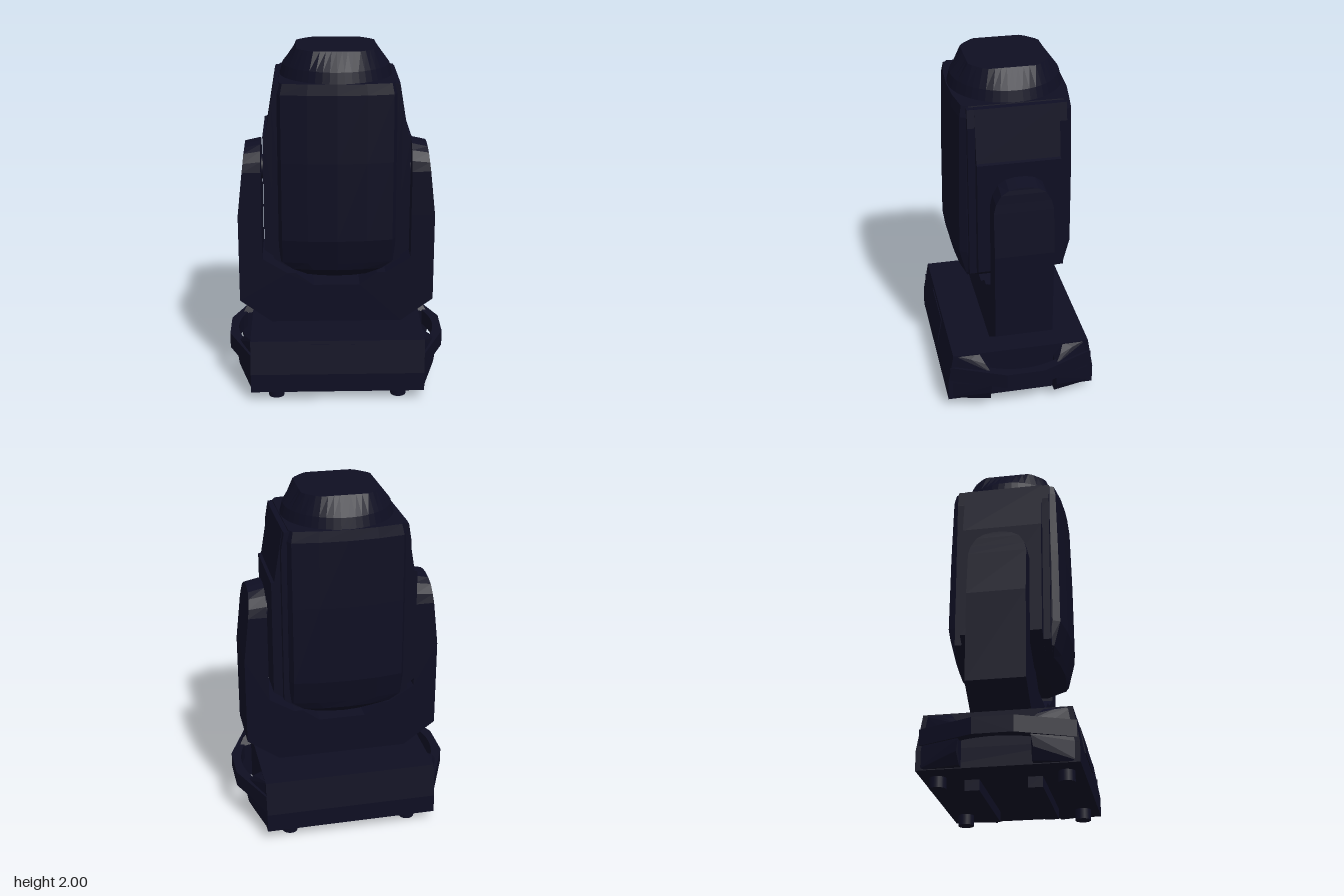
import * as THREE from 'three';
import { ConvexGeometry } from 'three/addons/geometries/ConvexGeometry.js';

const navy = new THREE.MeshStandardMaterial({ color: 0x0e0e22 });
navy.name = 'dark navy';

function part(parent, name, geometry, x = 0, y = 0, z = 0) {
  const mesh = new THREE.Mesh(geometry, navy);
  mesh.name = name;
  mesh.position.set(x, y, z);
  parent.add(mesh);
  return mesh;
}

// Closed, flat-shaded skin over rings of [x, y, z], stacked from bottom to top
function loft(rings) {
  const pos = [];
  const tri = (...pts) => pts.forEach(p => pos.push(...p));
  const n = rings[0].length;
  const middle = ring => [0, 1, 2].map(k => ring.reduce((s, p) => s + p[k], 0) / n);
  const low = rings[0], high = rings[rings.length - 1];
  const lowMid = middle(low), highMid = middle(high);
  for (let j = 0; j < n; j++) {
    const k = (j + 1) % n;
    for (let i = 0; i < rings.length - 1; i++) {
      const a = rings[i][j], b = rings[i][k], c = rings[i + 1][j], d = rings[i + 1][k];
      tri(a, c, b);
      tri(c, d, b);
    }
    tri(lowMid, low[j], low[k]);
    tri(highMid, high[k], high[j]);
  }
  const g = new THREE.BufferGeometry();
  g.setAttribute('position', new THREE.Float32BufferAttribute(pos, 3));
  g.computeVertexNormals();
  return g;
}

const rectRing = (x0, x1, y, z, yOuter = y) =>
  [[x1, yOuter, -z], [x1, yOuter, z], [x0, y, z], [x0, y, -z]];

// Extrude an outline centred along z
function slab(points, depth) {
  const shape = new THREE.Shape(points.map(p => new THREE.Vector2(...p)));
  return new THREE.ExtrudeGeometry(shape, { depth, bevelEnabled: false }).translate(0, 0, -depth / 2);
}

// Add a part on the +x side and its turned copy on the -x side
function pair(parent, name, geometry, x = 0, y = 0, z = 0) {
  part(parent, name, geometry, x, y, z);
  part(parent, name, geometry.clone().rotateY(Math.PI), -x, y, -z);
}

function makeBase() {
  const base = new THREE.Group();
  base.name = 'base';
  part(base, 'baseBody', loft([
    rectRing(-0.5, 0.5, 0.06, 0.432),
    rectRing(-0.5, 0.5, 0.17, 0.432),
    rectRing(-0.5, 0.5, 0.365, 0.398),
  ]));

  // Tapered corner blocks that carry the handles
  const corner = [
    [0.49, 0.065, 0.43], [0.49, 0.17, 0.43], [0.49, 0.365, 0.396],
    [0.49, 0.065, 0.19], [0.49, 0.365, 0.25], [0.52, 0.345, 0.3],
    [0.545, 0.065, 0.19], [0.545, 0.32, 0.22], [0.575, 0.13, 0.2],
    [0.585, 0.19, 0.19], [0.575, 0.275, 0.19], [0.49, 0.29, 0.19],
  ];
  for (const sx of [-1, 1]) for (const sz of [-1, 1]) {
    part(base, 'baseCorner', new ConvexGeometry(
      corner.map(([x, y, z]) => new THREE.Vector3(x * sx, y, z * sz))));
    part(base, 'foot', new THREE.CylinderGeometry(0.045, 0.045, 0.07, 20), 0.355 * sx, 0.035, 0.343 * sz);
  }

  // Bent carrying handles with an arched inner edge
  const handle = new THREE.Shape();
  handle.moveTo(0.5, -0.418);
  handle.lineTo(0.632, -0.11);
  handle.lineTo(0.632, 0.11);
  handle.lineTo(0.5, 0.418);
  handle.lineTo(0.5, 0.19);
  handle.lineTo(0.54, 0.195);
  handle.quadraticCurveTo(0.63, 0, 0.54, -0.195);
  handle.lineTo(0.5, -0.19);
  const handleGeo = new THREE.ExtrudeGeometry(handle, { depth: 0.092, bevelEnabled: false, curveSegments: 12 });
  handleGeo.rotateX(Math.PI / 2);
  pair(base, 'handle', handleGeo, 0, 0.287, 0);

  // Underside rails, control panel and turning post
  for (const z of [-0.17, 0.17]) part(base, 'rail', new THREE.BoxGeometry(0.61, 0.07, 0.08), 0, 0.035, z);
  const panel = part(base, 'controlPanel', new THREE.BoxGeometry(0.34, 0.15, 0.009), -0.07, 0.27, 0.415);
  panel.rotation.x = -0.173;
  part(base, 'turningPost', new THREE.CylinderGeometry(0.08, 0.08, 0.06, 24), 0, 0.385, 0);
  return base;
}

function makeYoke() {
  const yoke = new THREE.Group();
  yoke.name = 'yoke';
  const right = [
    [0.38, 0.385], [0.565, 0.52], [0.565, 1.04], [0.43, 1.04],
    [0.43, 0.78], [0.285, 0.69], [0.235, 0.69], [0.135, 0.615],
  ];
  const left = right.map(([x, y]) => [-x, y]).reverse();
  part(yoke, 'yokeFrame', slab([...right, ...left], 0.33));

  // Upper arms, rounded over at the top
  pair(yoke, 'yokeArm', loft([
    rectRing(0.43, 0.565, 1.04, 0.165),
    rectRing(0.43, 0.536, 1.3, 0.165),
    rectRing(0.43, 0.53, 1.36, 0.152, 1.35),
    rectRing(0.43, 0.525, 1.415, 0.122, 1.4),
    rectRing(0.43, 0.521, 1.445, 0.08, 1.425),
    rectRing(0.43, 0.52, 1.456, 0.03, 1.436),
  ]));
  pair(yoke, 'tiltHub', new THREE.CylinderGeometry(0.07, 0.07, 0.08, 24).rotateZ(Math.PI / 2), 0.415, 1.29, 0);
  return yoke;
}

function makeHead() {
  const head = new THREE.Group();
  head.name = 'head';

  // Housing with gently bowed front and back and cut corners
  const section = (y, hx, hz) => {
    const q = [[hx, hz * 0.8], [hx * 0.94, hz - 0.03], [hx * 0.5, hz - 0.008], [0, hz]];
    const half = [...q, ...q.slice(0, 3).reverse().map(([x, z]) => [-x, z])];
    return [...half, ...half.map(([x, z]) => [-x, -z])].map(([x, z]) => [x, y, z]);
  };
  part(head, 'housing', loft([
    section(0.695, 0.18, 0.22), section(0.76, 0.27, 0.3), section(0.805, 0.33, 0.312),
    section(0.95, 0.33, 0.348), section(1.4, 0.33, 0.343), section(1.78, 0.33, 0.333),
    section(1.84, 0.318, 0.322),
  ]));

  // Side covers: a wide flank with a narrower raised pod
  const flank = [[0.28, 0.77], [0.36, 0.825], [0.36, 1.73], [0.343, 1.83], [0.28, 1.84]];
  const pod = [[0.3, 0.781], [0.412, 0.862], [0.412, 1.53], [0.395, 1.535], [0.346, 1.83], [0.3, 1.838]];
  pair(head, 'sideFlank', slab(flank, 0.54));
  pair(head, 'sidePod', slab(pod, 0.46));

  // Lens hood, changing from a circle to an octagon
  const octagon = (c, s) => Math.min(0.222 / Math.max(c, s), 0.255 * Math.SQRT2 / (c + s));
  const hoodRing = (y, r, blend) => Array.from({ length: 48 }, (_, i) => {
    const a = i / 48 * Math.PI * 2, c = Math.cos(a), s = Math.sin(a);
    const d = THREE.MathUtils.lerp(r, octagon(Math.abs(c), Math.abs(s)), blend);
    return [c * d, y, s * d];
  });
  part(head, 'lensHood', loft([
    hoodRing(1.82, 0.318, 0), hoodRing(1.84, 0.316, 0), hoodRing(1.9, 0.3, 0), hoodRing(2, 0.22, 1),
  ]));
  return head;
}

export function createModel() {
  const model = new THREE.Group();
  model.name = 'stageLight';
  model.add(makeBase(), makeYoke(), makeHead());
  return model;
}
